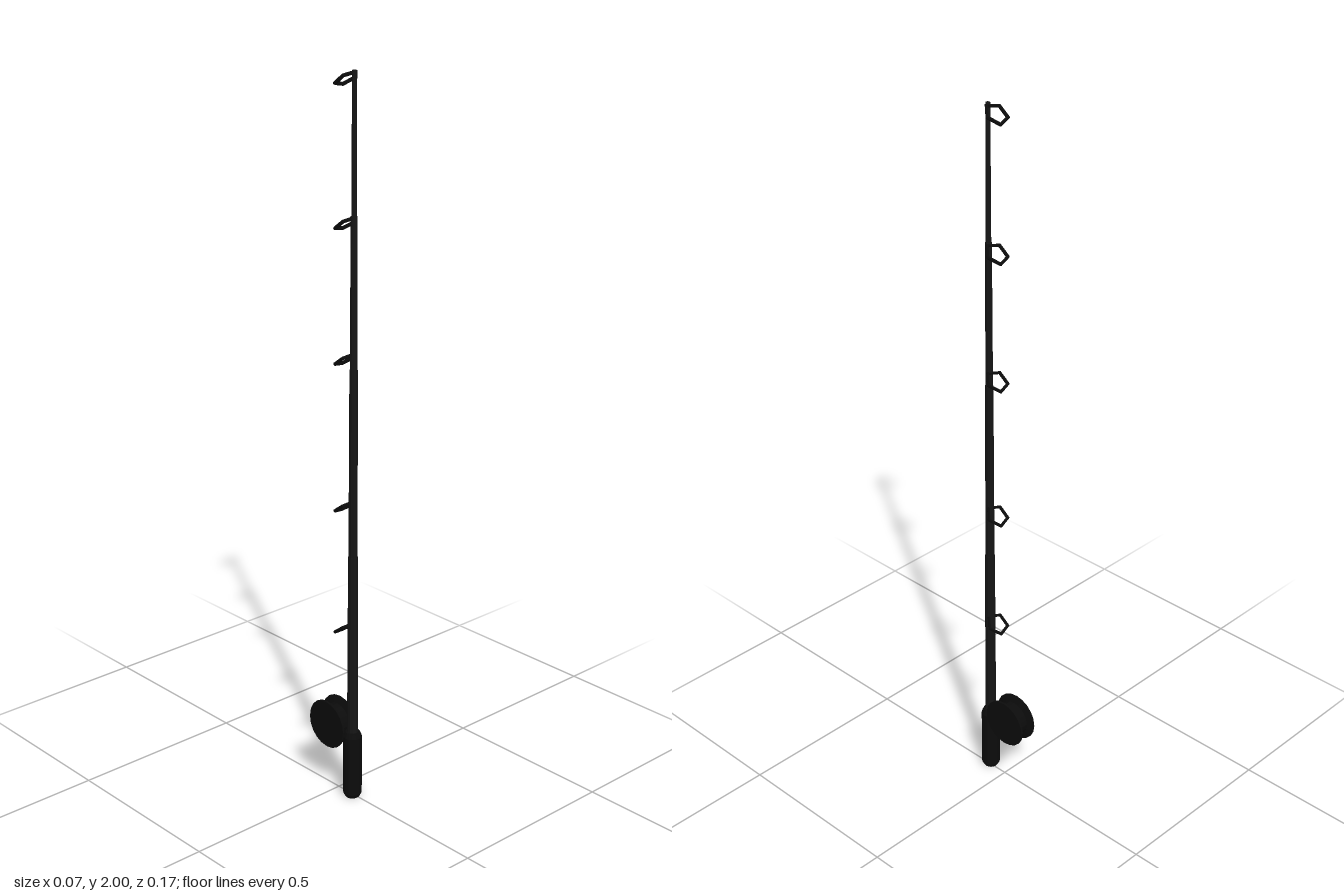
import * as THREE from 'three';

const ROD_X = -0.0045, ROD_Z = 0.06;

export function createModel() {
  const group = new THREE.Group();
  const black = new THREE.MeshStandardMaterial({ color: 0x0c0c0c, flatShading: true });
  const charcoal = new THREE.MeshStandardMaterial({ color: 0x161616, flatShading: true });

  const add = (name, geometry, material, x, y, z) => {
    const mesh = new THREE.Mesh(geometry, material);
    mesh.name = name;
    mesh.position.set(x, y, z);
    group.add(mesh);
    return mesh;
  };
  const lathe = (points, sides) =>
    new THREE.LatheGeometry(points.map(([r, y]) => new THREE.Vector2(r, y)), sides);

  // Grip with bevelled ends
  add('handle', lathe([[0, 0], [0.02, 0], [0.026, 0.012], [0.026, 0.186], [0.02, 0.2], [0, 0.2]], 16),
    black, ROD_X, 0, ROD_Z);

  // Tapering pole, stepped where the sections join
  add('pole', lathe([
    [0, 0.19], [0.0155, 0.19], [0.0135, 0.72], [0.0125, 0.72], [0.011, 1.24],
    [0.01, 1.24], [0.0085, 1.64], [0.007, 1.64], [0.006, 2], [0, 2],
  ], 10), charcoal, ROD_X, 0, ROD_Z);

  // Five-sided line guides, sloping down away from the pole
  for (const y of [0.505, 0.857, 1.262, 1.617, 1.977]) {
    const guide = add('lineGuide', new THREE.TorusGeometry(0.031, 0.005, 6, 5), black, ROD_X, y, 0.032);
    guide.rotation.x = 0.93;
  }

  // Reel: a drum between two flanges that flare toward the rim
  const reel = add('reel', lathe([
    [0, -0.0265], [0.068, -0.0265], [0.07, -0.0245], [0.07, -0.022], [0.05, -0.0145],
    [0.05, 0.0145], [0.07, 0.022], [0.07, 0.0245], [0.068, 0.0265], [0, 0.0265],
  ], 20), black, ROD_X, 0.2, -0.018);
  reel.rotation.z = -Math.PI / 2;

  return group;
}
